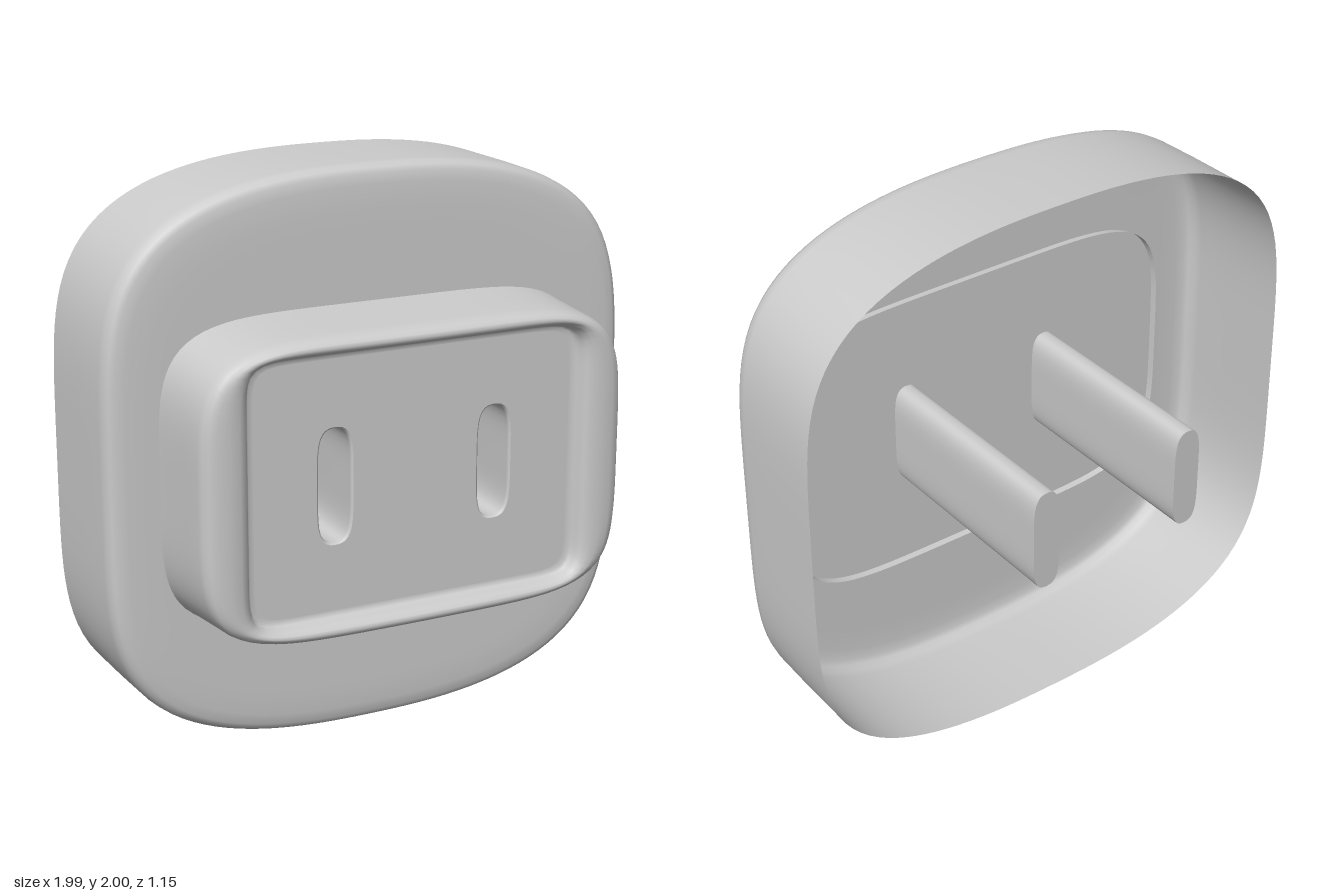
import * as THREE from 'three';

const MID = 1; // height of the centre line
const material = new THREE.MeshStandardMaterial({ color: 0xcccccc, side: THREE.DoubleSide });

// Closed outline |x/a|^p + |y/b|^q = 1, sampled along evenly spread rays
function outline(a, b, p, q, n, cx = 0) {
  const pts = [];
  for (let i = 0; i < n; i++) {
    const t = (i / n) * Math.PI * 2, c = Math.cos(t), s = Math.sin(t);
    let lo = 0, hi = 1.5;
    for (let k = 0; k < 40; k++) {
      const r = (lo + hi) / 2;
      if (Math.abs(r * c) ** p + Math.abs(r * s) ** q < 1) lo = r; else hi = r;
    }
    pts.push(new THREE.Vector2(cx + a * lo * c, MID + b * lo * s));
  }
  return pts;
}

// Skin through loops { pts, z, lift }, with optional flat end cap
function loft(name, loops, capped = false) {
  const n = loops[0].pts.length, pos = [], idx = [];
  for (const { pts, z, lift = 0 } of loops) {
    for (const v of pts) pos.push(v.x, v.y, z + lift * Math.max(0, 1 - (v.x / 0.62) ** 2));
  }
  for (let j = 0; j < loops.length - 1; j++) {
    for (let i = 0; i < n; i++) {
      const k = (i + 1) % n, a = j * n + i, b = j * n + k;
      idx.push(a, b, b + n, a, b + n, a + n);
    }
  }
  const geo = new THREE.BufferGeometry();
  geo.setAttribute('position', new THREE.Float32BufferAttribute(pos, 3));
  geo.setIndex(idx);
  geo.computeVertexNormals();
  const group = new THREE.Group();
  group.name = name;
  const skin = new THREE.Mesh(geo, material);
  skin.name = name + 'Skin';
  group.add(skin);
  if (capped) {
    const end = loops[loops.length - 1];
    group.add(panel(name + 'Cap', end.pts, [], end.z));
  }
  return group;
}

// Flat face with holes
function panel(name, pts, holes, z) {
  const shape = new THREE.Shape(pts);
  for (const h of holes) shape.holes.push(new THREE.Path(h));
  const mesh = new THREE.Mesh(new THREE.ShapeGeometry(shape), material);
  mesh.position.z = z;
  mesh.name = name;
  return mesh;
}

export function createModel() {
  const model = new THREE.Group();
  model.name = 'wallPlug';

  // Hollow housing, open at the back, with a softly rounded front edge
  const housing = [
    [0.995, 1, -0.24], [0.992, 1, 0], [0.988, 0.998, 0.16], [0.984, 0.995, 0.19],
    [0.972, 0.984, 0.212], [0.955, 0.966, 0.222], [0.92, 0.93, 0.228],
    [0.85, 0.86, 0.23], [0.8, 0.8, 0.23],
  ].map(([a, b, z]) => ({ pts: outline(a, b, 2.5, 4.6, 160), z }));
  model.add(loft('housing', housing, true));

  // Socket block: tapered wall, raised rim, then the recess
  const socket = [
    [0.81, 0.54, 5.5, 4.5, 0.205, 0], [0.802, 0.535, 5.5, 4.5, 0.27, 0],
    [0.793, 0.525, 5.5, 4.5, 0.42, 0], [0.789, 0.52, 5.5, 4.5, 0.5, 0],
    [0.783, 0.516, 5.5, 4.6, 0.525, 0.006], [0.768, 0.508, 5.7, 5, 0.544, 0.012],
    [0.74, 0.498, 6, 5.5, 0.554, 0.017], [0.7, 0.486, 7.5, 7, 0.558, 0.017],
    [0.662, 0.474, 10, 9, 0.554, 0.017], [0.638, 0.464, 12, 11, 0.543, 0.012],
    [0.626, 0.457, 13, 13, 0.525, 0.006], [0.62, 0.452, 14, 14, 0.508, 0],
    [0.612, 0.446, 14, 14, 0.501, 0], [0.595, 0.434, 14, 14, 0.5, 0],
  ].map(([a, b, p, q, z, lift]) => ({ pts: outline(a, b, p, q, 160), z, lift }));
  model.add(loft('socketBlock', socket));

  const holes = [];
  for (const side of [-1, 1]) {
    const cx = side * 0.3;
    const tube = (rows) => rows.map(([a, b, z]) => ({ pts: outline(a, b, 2.6, 5, 48, cx), z }));
    const label = side > 0 ? 'left' : 'right';

    // Slot walls running in from the recess face
    const slot = tube([[0.067, 0.203, 0.5], [0.062, 0.199, 0.497], [0.059, 0.196, 0.488], [0.058, 0.195, 0.23]]);
    holes.push(slot[0].pts);
    model.add(loft(label + 'Slot', slot));

    // Contact pin standing out of the open back
    model.add(loft(label + 'Pin', tube([[0.053, 0.19, 0.23], [0.053, 0.19, -0.575]]), true));
  }
  model.add(panel('recessFace', socket[socket.length - 1].pts, holes, 0.5));

  return model;
}
